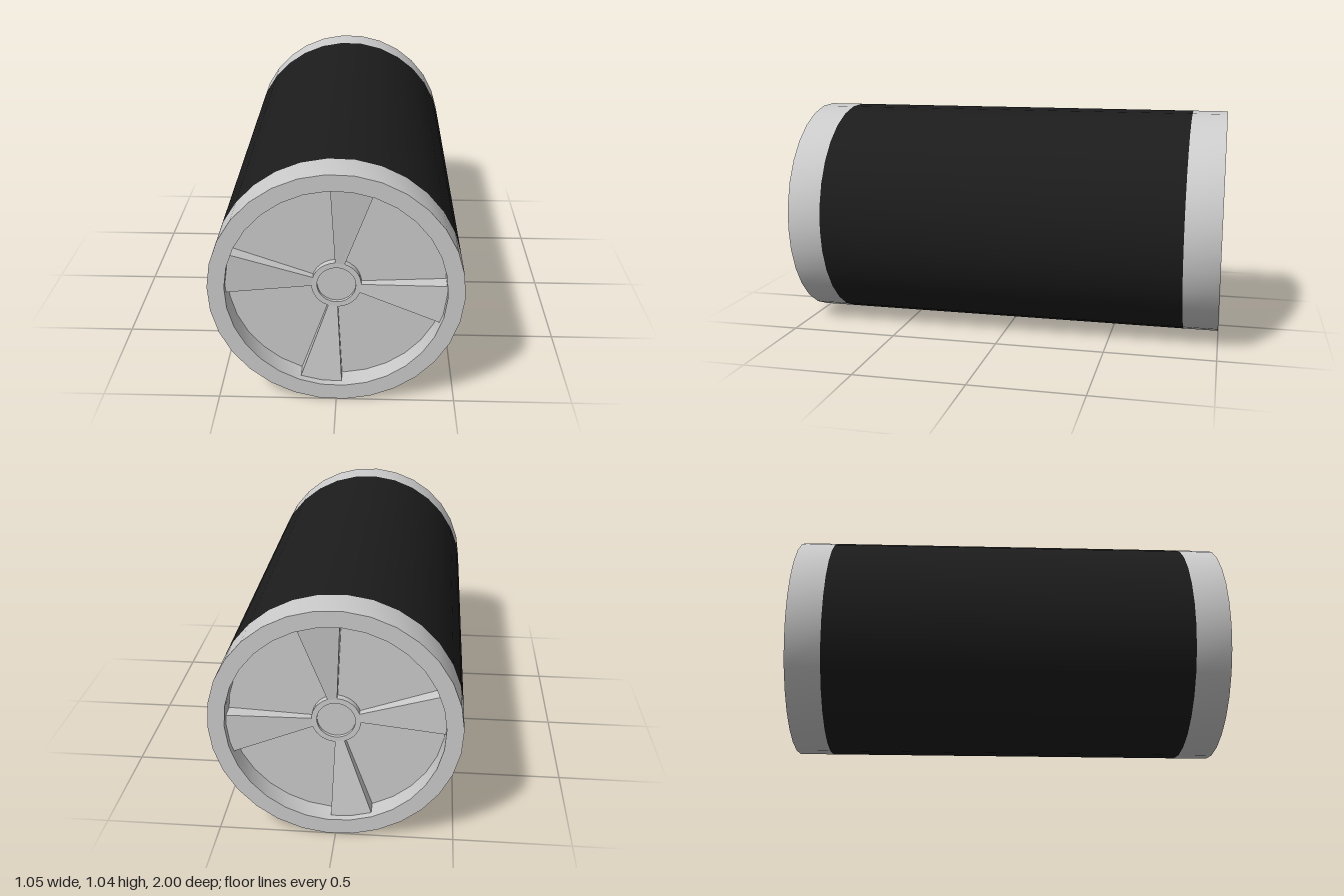
import * as THREE from 'three';
import { toCreasedNormals } from 'three/addons/utils/BufferGeometryUtils.js';

const R = 0.523;          // outer radius
const SIDES = 30;
const RIM = 0.453;        // inner radius of the rim
const HUB = 0.103;        // outer radius of the hub
const BODY_END = 0.84;
const DISC_Z = 0.905;     // recessed disc
const HUB_Z = 0.935;      // hub face, where the blades start
const BLADE_Z = 0.97;     // blade height at the rim
const rad = THREE.MathUtils.degToRad;

const grey = new THREE.MeshStandardMaterial({ color: 0xcccccc });
const black = new THREE.MeshStandardMaterial({ color: 0x1c1c1c });

function mesh(name, geometry, material) {
  const m = new THREE.Mesh(geometry, material);
  m.name = name;
  return m;
}

// Rim, recessed disc and dished hub turned as one profile
function capGeometry(side) {
  const profile = [
    [R, BODY_END], [R, 1], [RIM, 1], [RIM, DISC_Z], [HUB, DISC_Z],
    [HUB, HUB_Z], [0.08, HUB_Z], [0.08, HUB_Z - 0.015], [0, HUB_Z - 0.015],
  ].map(([r, z]) => new THREE.Vector2(r, z));
  const g = new THREE.LatheGeometry(profile, SIDES, side * rad(4));
  g.rotateX(Math.PI / 2);
  return toCreasedNormals(g, 0.5);
}

// Wedge between hub and rim, its face ramping up towards the rim
function bladeGeometry() {
  const half = rad(11.1);
  const inner = HUB - 0.003;
  const shape = new THREE.Shape();
  shape.absarc(0, 0, RIM, -half, half, false);
  shape.absarc(0, 0, inner, half, -half, true);
  shape.closePath();
  const g = new THREE.ExtrudeGeometry(shape, { depth: 1, bevelEnabled: false, curveSegments: 4 });
  const p = g.attributes.position;
  for (let i = 0; i < p.count; i++) {
    const t = (Math.hypot(p.getX(i), p.getY(i)) - inner) / (RIM - inner);
    p.setZ(i, p.getZ(i) > 0.5 ? THREE.MathUtils.lerp(HUB_Z, BLADE_Z, t) : DISC_Z - 0.005);
  }
  g.computeVertexNormals();
  return g;
}

// side is 1 for the front and -1 for the back, which mirrors the front
function endCap(name, side) {
  const cap = new THREE.Group();
  cap.name = name;
  cap.add(mesh('rimAndHub', capGeometry(side), grey));
  const geometry = bladeGeometry();
  for (let i = 0; i < 4; i++) {
    const blade = mesh('blade' + (i + 1), geometry, grey);
    blade.rotation.z = i * Math.PI / 2 - side * rad(8.3);
    cap.add(blade);
  }
  if (side < 0) cap.rotation.y = Math.PI;
  return cap;
}

export function createModel() {
  const model = new THREE.Group();
  model.name = 'roller';

  // Dark sleeve between the two caps
  const sleeve = new THREE.CylinderGeometry(R, R, BODY_END * 2, SIDES, 1, false, rad(4));
  sleeve.rotateX(Math.PI / 2);
  model.add(mesh('sleeve', sleeve, black));

  model.add(endCap('frontCap', 1), endCap('backCap', -1));
  model.children.forEach((part) => { part.position.y = R; });
  return model;
}
